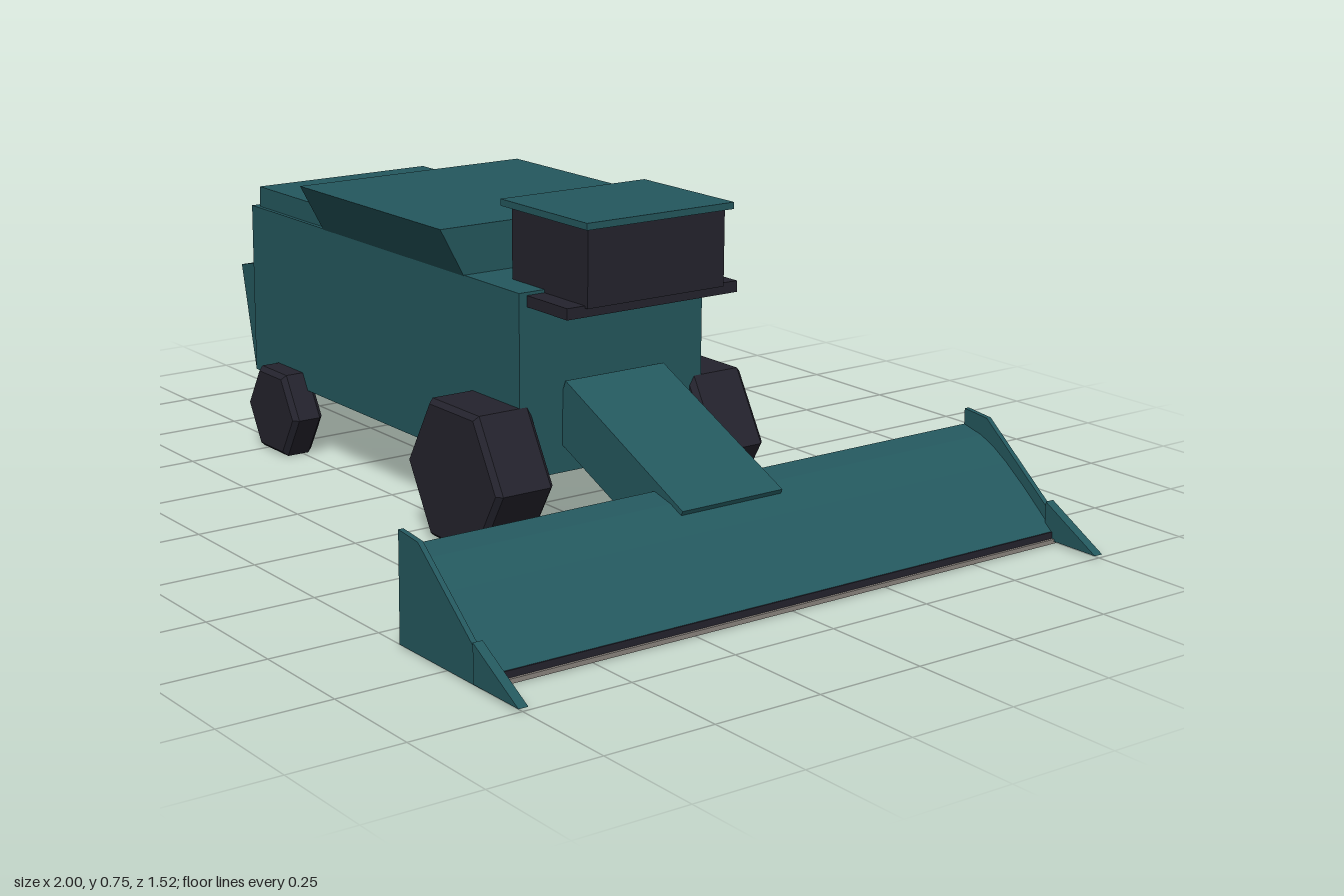
import * as THREE from 'three';

const teal = new THREE.MeshStandardMaterial({ color: 0x24585e });
teal.name = 'teal paint';
const dark = new THREE.MeshStandardMaterial({ color: 0x24232d });
dark.name = 'dark rubber and glass';
const steel = new THREE.MeshStandardMaterial({ color: 0x8c8680 });
steel.name = 'cutter steel';

export function createModel() {
  const model = new THREE.Group();
  model.name = 'combineHarvester';

  function add(name, geometry, material) {
    const mesh = new THREE.Mesh(geometry, material);
    mesh.name = name;
    model.add(mesh);
    return mesh;
  }
  // Box from x and y ranges, centred on z = 0
  function box(name, x0, x1, y0, y1, halfZ, material) {
    const g = new THREE.BoxGeometry(x1 - x0, y1 - y0, halfZ * 2);
    g.translate((x0 + x1) / 2, (y0 + y1) / 2, 0);
    return add(name, g, material);
  }
  // Side outline in x, y extruded across z
  function slab(name, points, z0, z1, material) {
    const shape = new THREE.Shape(points.map(([x, y]) => new THREE.Vector2(x, y)));
    const g = new THREE.ExtrudeGeometry(shape, { depth: z1 - z0, bevelEnabled: false });
    g.translate(0, 0, z0);
    return add(name, g, material);
  }

  // Hull
  box('chassis', -0.84, 0.2, 0.15, 0.17, 0.205, dark);
  box('body', -0.885, 0.26, 0.165, 0.577, 0.245, teal);
  box('engineCover', -0.862, -0.545, 0.575, 0.626, 0.235, teal);
  slab('strawHood', [[-0.94, 0.155], [-0.87, 0.172], [-0.87, 0.434], [-1, 0.405]], -0.215, 0.215, teal);

  // Grain tank flares outward toward the top
  const tank = new THREE.BoxGeometry(0.595, 0.11, 0.49);
  const p = tank.attributes.position;
  for (let i = 0; i < p.count; i++) {
    if (p.getY(i) > 0) p.setZ(i, Math.sign(p.getZ(i)) * 0.305);
  }
  tank.translate(-0.2475, 0.63, 0);
  tank.computeVertexNormals();
  add('grainTank', tank, teal);

  // Cab
  box('cabFloor', 0.145, 0.405, 0.545, 0.57, 0.225, dark);
  box('cabGlass', 0.14, 0.415, 0.565, 0.737, 0.18, dark);
  box('cabRoof', 0.115, 0.43, 0.735, 0.75, 0.193, teal);

  // Six-sided wheels with a small chamfer on both rims
  function wheel(name, x, y, z, r, width) {
    const h = width / 2, c = 0.012;
    const profile = [[0, -h], [r - c, -h], [r, -h + c], [r, h - c], [r - c, h], [0, h]]
      .map(([a, b]) => new THREE.Vector2(a, b));
    const g = new THREE.LatheGeometry(profile, 6).toNonIndexed();
    g.rotateY(Math.PI / 2);
    g.rotateX(Math.PI / 2);
    g.computeVertexNormals();
    add(name, g, dark).position.set(x, y, z);
  }
  for (const [side, s] of [['left', 1], ['right', -1]]) {
    wheel(side + 'DriveWheel', 0.17, 0.17, s * 0.287, 0.18, 0.146);
    wheel(side + 'SteerWheel', -0.715, 0.104, s * 0.262, 0.116, 0.08);
  }

  // Sloping feeder between body and header
  slab('feederHouse', [[0.27, 0.372], [0.215, 0.245], [0.625, 0.07], [0.68, 0.187]], -0.132, 0.132, teal);

  // Header trough with a gently rounded top
  slab('header', [[0.585, 0.008], [0.87, 0.008], [0.87, 0.03], [0.78, 0.105],
    [0.72, 0.15], [0.68, 0.175], [0.64, 0.193], [0.585, 0.206]], -0.745, 0.745, teal);
  box('cutterBacking', 0.86, 0.873, 0.015, 0.03, 0.742, dark);
  box('cutterBar', 0.84, 0.879, 0.005, 0.015, 0.742, steel);

  // End plates and pointed crop dividers
  for (const [side, s] of [['left', 1], ['right', -1]]) {
    const z = s * 0.748;
    slab(side + 'EndPlate', [[0.585, 0.006], [0.88, 0.006], [0.88, 0.06], [0.85, 0.078],
      [0.655, 0.235], [0.585, 0.242]], z - 0.006, z + 0.006, teal);
    slab(side + 'Divider', [[0.85, 0.01], [1, 0.01], [0.85, 0.093]], z - 0.011, z + 0.011, teal);
  }
  return model;
}
